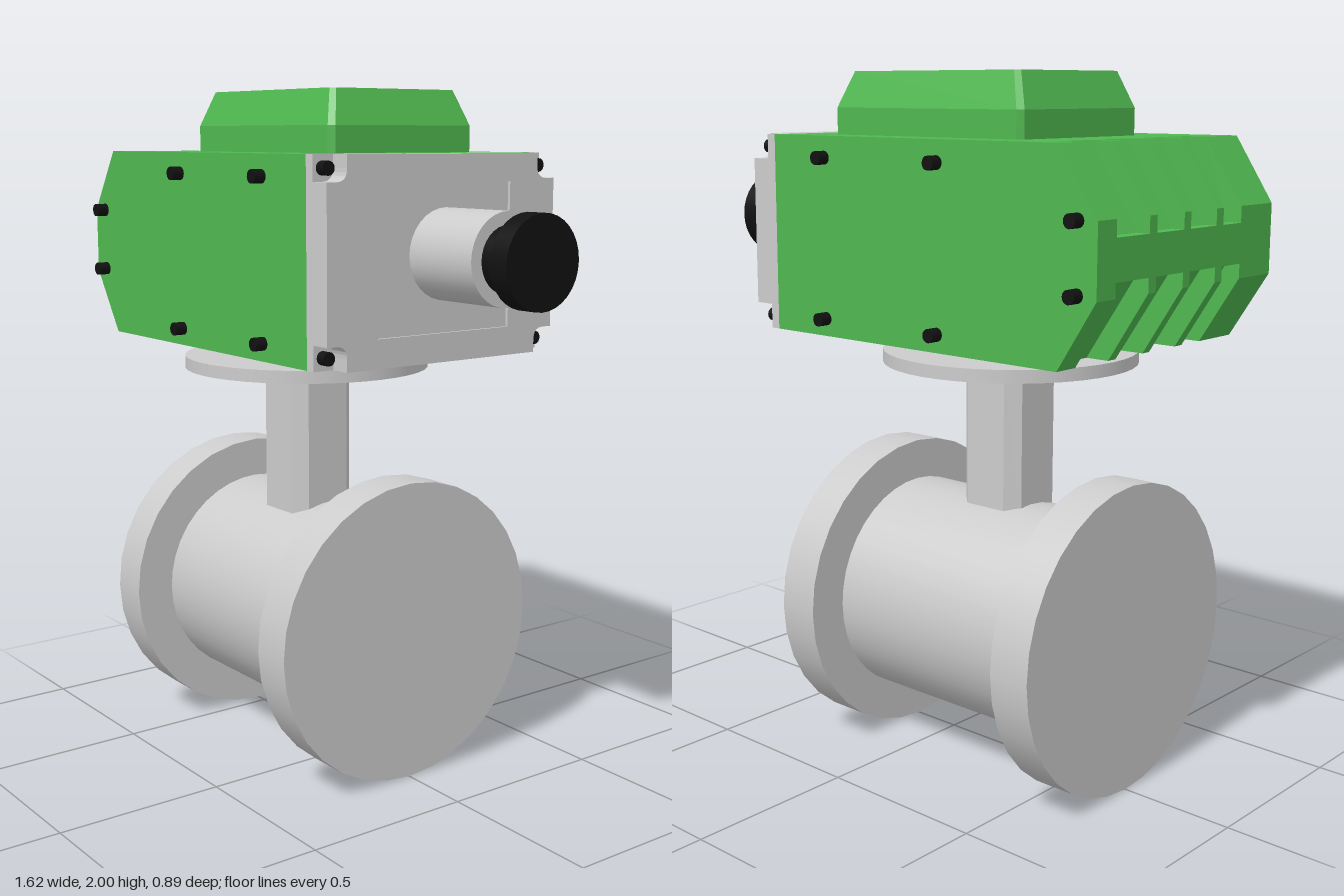
import * as THREE from 'three';

const mat = (color) => new THREE.MeshStandardMaterial({ color });
const GREY = mat(0xcccccc), GREEN = mat(0x4fb84f), BLACK = mat(0x111111);
const MID_Z = 0.014, MID_Y = 1.545; // centre of the actuator housing

export function createModel() {
  const model = new THREE.Group();

  const add = (name, geometry, material, x = 0, y = 0, z = 0, parent = model) => {
    const mesh = new THREE.Mesh(geometry, material);
    mesh.name = name;
    mesh.position.set(x, y, z);
    parent.add(mesh);
    return mesh;
  };
  const group = (name) => {
    const g = new THREE.Group();
    g.name = name;
    model.add(g);
    return g;
  };
  const shapeOf = (pts) => new THREE.Shape(pts.map(([x, y]) => new THREE.Vector2(x, y)));
  const extrude = (shape, depth) =>
    new THREE.ExtrudeGeometry(shape, { depth, bevelEnabled: false, curveSegments: 6 });
  // Cylinder lying along x from x0 to x1
  const rod = (name, r, x0, x1, y, z, material, seg = 32, parent = model) =>
    add(name, new THREE.CylinderGeometry(r, r, x1 - x0, seg).rotateZ(-Math.PI / 2),
      material, (x0 + x1) / 2, y, z, parent);
  // Upright block with chamfered corners, its top scaled by sx, sz
  const block = (hx, hz, c, height, sx = 1, sz = 1) => {
    const geo = extrude(shapeOf([
      [hx - c, -hz], [hx, -hz + c], [hx, hz - c], [hx - c, hz],
      [-hx + c, hz], [-hx, hz - c], [-hx, -hz + c], [-hx + c, -hz],
    ]), height).rotateX(-Math.PI / 2);
    const p = geo.attributes.position;
    for (let i = 0; i < p.count; i++) {
      if (p.getY(i) > height / 2) p.setXYZ(i, p.getX(i) * sx, p.getY(i), p.getZ(i) * sz);
    }
    geo.computeVertexNormals();
    return geo;
  };

  // Pipe body with two end flanges
  const R = 0.447;
  rod('valveBody', 0.327, -0.54, 0.16, R, 0, GREY, 40);
  rod('rightFlange', R, -0.66, -0.535, R, 0, GREY);
  rod('leftFlange', R, 0.152, 0.28, R, 0, GREY);

  // Stem and mounting disc
  add('stem', block(0.106, 0.108, 0.037, 0.5), GREY, -0.195, 0.69, 0.028);
  add('mountingDisc', new THREE.CylinderGeometry(0.37, 0.37, 0.037, 40), GREY, -0.195, 1.202, 0.03);
  add('mountingNeck', new THREE.CylinderGeometry(0.2, 0.2, 0.06, 32), GREY, -0.2, 1.244, 0.022);

  // Housing: slices along z, alternating full profile and grooved profile
  const housing = group('housing');
  const top = 1.825, bottom = 1.265, front = 0.345;
  const full = shapeOf([
    [front, bottom], [front, top], [-0.69, top], [-0.81, 1.645], [-0.81, 1.45], [-0.69, bottom],
  ]);
  const grooved = shapeOf([
    [front, bottom], [front, top], [-0.62, top], [-0.77, 1.6], [-0.81, 1.6],
    [-0.81, 1.49], [-0.77, 1.49], [-0.62, bottom],
  ]);
  const cuts = [-0.381, -0.305, -0.167, -0.135, -0.015, 0.015, 0.135, 0.168, 0.255, 0.409];
  for (let i = 0; i < cuts.length - 1; i++) {
    const groove = i % 2 === 1;
    add(groove ? 'coolingGroove' : 'coolingFin',
      extrude(groove ? grooved : full, cuts[i + 1] - cuts[i]), GREEN, 0, 0, cuts[i], housing);
  }

  // Raised top cover
  add('coverBase', block(0.345, 0.253, 0.015, 0.08), GREEN, -0.135, 1.82, -0.022);
  add('coverTop', block(0.345, 0.253, 0.015, 0.1, 0.885, 0.865), GREEN, -0.135, 1.9, -0.022);

  // Screws on both sides of the housing
  const sideScrews = group('sideScrews');
  for (const [x, y] of [[-0.75, 1.643], [-0.75, 1.46], [-0.285, 1.765],
    [-0.285, 1.315], [0.14, 1.765], [0.14, 1.315]]) {
    for (const s of [-1, 1]) {
      add('sideScrew', new THREE.CylinderGeometry(0.019, 0.019, 0.05, 16).rotateX(Math.PI / 2),
        BLACK, x, y, MID_Z + s * 0.405, sideScrews);
    }
  }

  // End plate: backing, then a front layer with corner notches and a sunken panel
  const hw = 0.395, hh = 0.28, cx = 0.366, cy = 0.245, r = 0.035;
  add('endPlateBack', new THREE.BoxGeometry(0.03, 2 * hh, 2 * hw), GREY, 0.36, MID_Y, MID_Z);
  const face = new THREE.Shape();
  face.moveTo(hw, -cy + r);
  for (const [sx, sy] of [[1, 1], [-1, 1], [-1, -1], [1, -1]]) {
    if (sx * sy > 0) {
      face.lineTo(sx * hw, sy * (cy - r));
      face.lineTo(sx * cx, sy * (cy - r));
      face.quadraticCurveTo(sx * (cx - r), sy * (cy - r), sx * (cx - r), sy * cy);
      face.lineTo(sx * (cx - r), sy * hh);
    } else {
      face.lineTo(sx * (cx - r), sy * hh);
      face.lineTo(sx * (cx - r), sy * cy);
      face.quadraticCurveTo(sx * (cx - r), sy * (cy - r), sx * cx, sy * (cy - r));
      face.lineTo(sx * hw, sy * (cy - r));
    }
  }
  face.holes.push(new THREE.Path([[-0.23, -0.2], [-0.23, 0.203], [0.23, 0.203], [0.23, -0.2]]
    .map(([x, y]) => new THREE.Vector2(x, y))));
  add('endPlateFace', extrude(face, 0.062).rotateY(Math.PI / 2), GREY, 0.374, MID_Y, MID_Z);
  add('endPanel', new THREE.BoxGeometry(0.055, 0.403, 0.46), GREY, 0.4, MID_Y + 0.0015, MID_Z);
  for (const sy of [-1, 1]) {
    for (const sz of [-1, 1]) {
      rod('endScrew', 0.019, 0.37, 0.405, MID_Y + sy * cy, MID_Z + sz * cx, BLACK, 16);
    }
  }

  // Cable gland
  rod('glandTube', 0.125, 0.42, 0.675, 1.558, 0.008, GREY);
  rod('glandNeck', 0.09, 0.67, 0.75, 1.558, 0.008, BLACK);
  rod('glandCap', 0.125, 0.745, 0.806, 1.558, 0.008, BLACK);

  return model;
}
